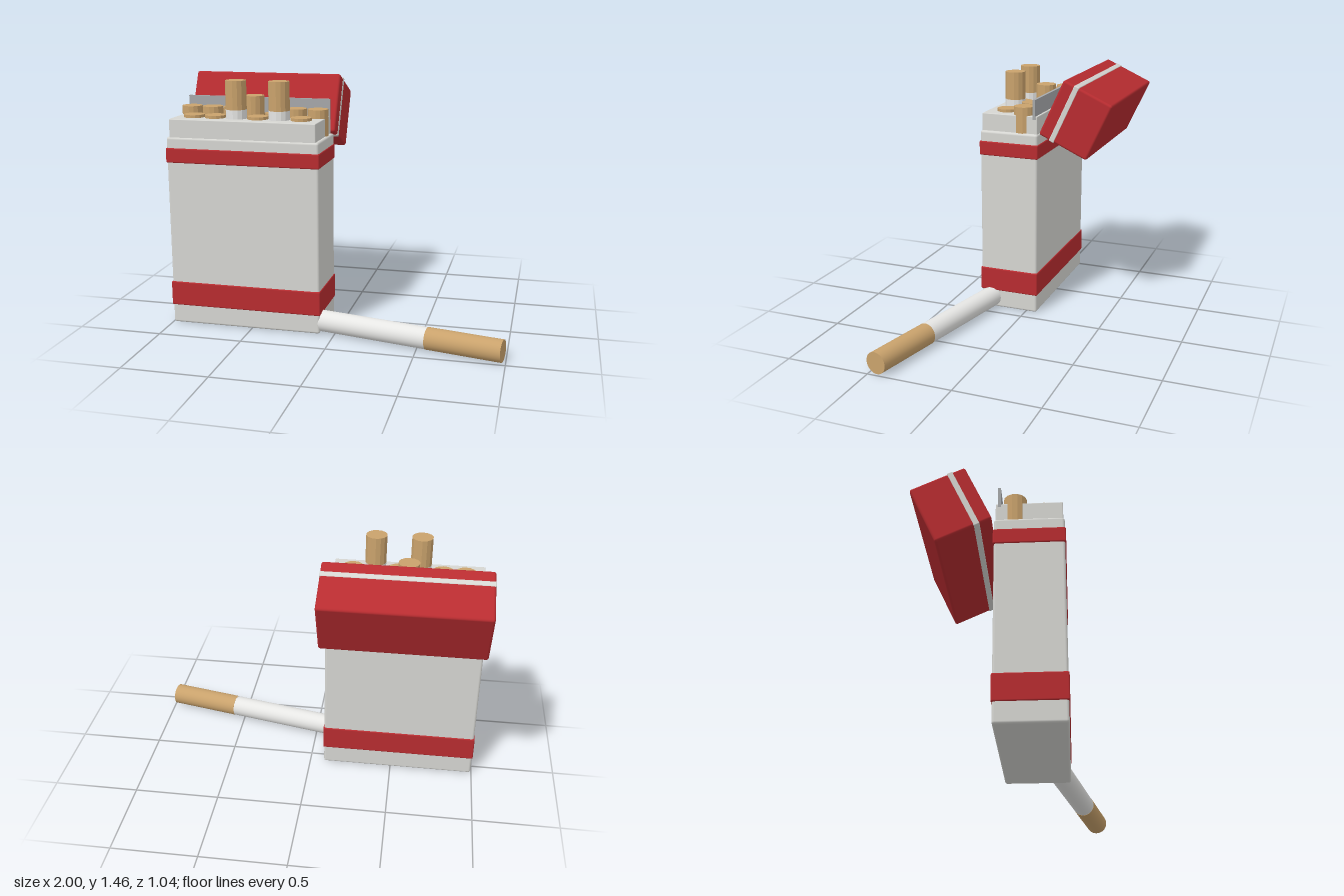
import * as THREE from 'three';
import { RoundedBoxGeometry } from 'three/addons/geometries/RoundedBoxGeometry.js';

const mat = (name, color, flatShading = false) => {
  const m = new THREE.MeshStandardMaterial({ color });
  m.name = name;
  m.flatShading = flatShading;
  return m;
};

export function createModel() {
  const root = new THREE.Group();
  root.name = 'openPack';
  const red = mat('red', 0xb82c30);
  const card = mat('white card', 0xd6d6d2);
  const paper = mat('white paper', 0xe6e6e4);
  const tan = mat('filter tan', 0xc9a26c);
  const grey = mat('liner grey', 0xa6a8aa);

  const add = (parent, name, geometry, material, x = 0, y = 0, z = 0) => {
    const mesh = new THREE.Mesh(geometry, material);
    mesh.name = name;
    mesh.position.set(x, y, z);
    parent.add(mesh);
    return mesh;
  };
  const rounded = (w, h, d, r) => new RoundedBoxGeometry(w, h, d, 3, r);
  const CX = -0.54, CZ = 0.113;

  // Carton with two wrapped bands
  add(root, 'cartonBody', rounded(0.91, 1.132, 0.364, 0.014), card, CX, 0.569, CZ);
  for (const [name, y0, y1] of [['lowerBand', 0.115, 0.262], ['upperBand', 0.985, 1.072]]) {
    add(root, name, rounded(0.92, y1 - y0, 0.374, 0.008), red, CX, (y0 + y1) / 2, CZ);
  }

  // Inner sleeve and the liner flap standing at its back
  add(root, 'innerSleeve', rounded(0.874, 0.2, 0.35, 0.005), card, CX, 1.14, CZ);
  add(root, 'linerFlap', new THREE.BoxGeometry(0.88, 0.12, 0.016), grey, CX, 1.28, -0.043);

  // Two staggered rows of cigarettes, each given by the height of its tip
  const R = 0.061, FILTER = 0.167;
  const filterGeo = new THREE.CylinderGeometry(R, R, FILTER, 14).toNonIndexed();
  filterGeo.computeVertexNormals();
  const stickGeo = new THREE.CylinderGeometry(R, R, 0.2, 14).toNonIndexed();
  stickGeo.computeVertexNormals();
  const rows = [
    { x: -0.93, z: 0.038, tips: [1.29, 1.29, 1.29, 1.36, 1.26, 1.29, 1.29] },
    { x: -0.865, z: 0.17, tips: [1.257, 1.257, 1.46, 1.257, 1.46, 1.257] },
  ];
  rows.forEach((row) => row.tips.forEach((tip, i) => {
    const cigarette = new THREE.Group();
    cigarette.name = 'packedCigarette';
    cigarette.position.set(row.x + i * 0.1295, tip, row.z);
    add(cigarette, 'filter', filterGeo, tan, 0, -FILTER / 2, 0);
    add(cigarette, 'paperTube', stickGeo, paper, 0, -FILTER - 0.1, 0);
    root.add(cigarette);
  }));

  // Lid tipped back on its hinge, with a stripe around it
  const lid = new THREE.Group();
  lid.name = 'lid';
  lid.position.set(CX, 1.239, -0.3);
  lid.rotation.x = -0.43;
  add(lid, 'lidShell', rounded(0.916, 0.362, 0.322, 0.014), red);
  add(lid, 'lidStripe', rounded(0.92, 0.368, 0.034, 0.006), card, 0, 0, 0.074);
  root.add(lid);

  // Loose cigarette lying beside the carton
  const loose = new THREE.Group();
  loose.name = 'looseCigarette';
  loose.position.set(0.983, 0.067, 0.456);
  loose.rotation.y = -0.206;
  const lay = (name, from, to, radius, material) => {
    const geo = new THREE.CylinderGeometry(radius, radius, to - from, 40).rotateZ(Math.PI / 2);
    add(loose, name, geo, material, (from + to) / 2, 0, 0);
  };
  lay('looseFilter', -0.435, 0, 0.064, tan);
  lay('loosePaperTube', -1.11, -0.434, 0.063, paper);
  root.add(loose);

  return root;
}
